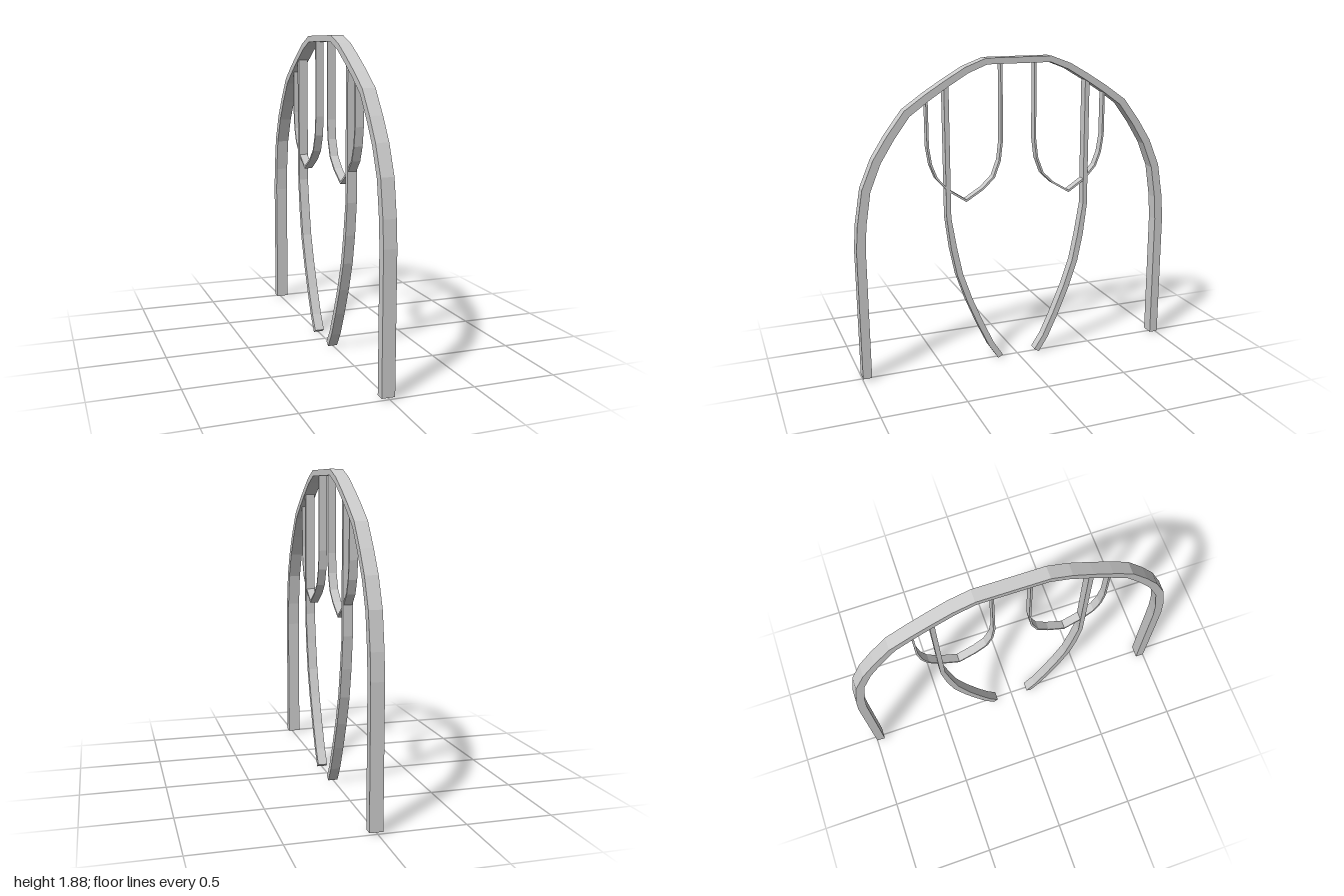
import * as THREE from 'three';

const material = new THREE.MeshStandardMaterial({ color: 0xcccccc, flatShading: true });

// Sweep a rectangular bar along [z, y, half thickness] points with mitred joints
function bar(name, points, halfWidth) {
  const n = points.length;
  const pos = [], index = [];
  const dir = (a, b) => new THREE.Vector2(b[0] - a[0], b[1] - a[1]).normalize();
  points.forEach(([z, y, h], i) => {
    const before = dir(points[Math.max(i - 1, 0)], points[Math.max(i, 1)]);
    const after = dir(points[Math.min(i, n - 2)], points[Math.min(i + 1, n - 1)]);
    const t = before.clone().add(after).normalize();
    const k = h / t.dot(after);
    const nz = -t.y * k, ny = t.x * k;
    for (const [sx, sn] of [[-1, -1], [1, -1], [1, 1], [-1, 1]]) {
      pos.push(sx * halfWidth, y + sn * ny, z + sn * nz);
    }
  });
  // Four sides, then the two end caps
  for (let i = 0; i < n - 1; i++) {
    for (let j = 0; j < 4; j++) {
      const a = i * 4 + j, b = i * 4 + (j + 1) % 4;
      index.push(a, b, a + 4, b, b + 4, a + 4);
    }
  }
  const e = (n - 1) * 4;
  index.push(0, 2, 1, 0, 3, 2, e, e + 1, e + 2, e, e + 2, e + 3);
  const indexed = new THREE.BufferGeometry();
  indexed.setAttribute('position', new THREE.Float32BufferAttribute(pos, 3));
  indexed.setIndex(index);
  const geometry = indexed.toNonIndexed();
  geometry.computeVertexNormals();
  const mesh = new THREE.Mesh(geometry, material);
  mesh.name = name;
  return mesh;
}

const mirror = (points) => points.map(([z, y, h]) => [-z, y, h]).reverse();

export function createModel() {
  const model = new THREE.Group();
  model.name = 'archFrame';

  // Outer arch, thinner towards the crown
  const archHalf = [
    [0.973, 0.015, 0.027], [0.973, 0.81, 0.027], [0.962, 0.96, 0.026],
    [0.928, 1.165, 0.025], [0.86, 1.328, 0.024], [0.778, 1.457, 0.023],
    [0.678, 1.59, 0.022], [0.558, 1.675, 0.021], [0.44, 1.75, 0.02],
    [0.32, 1.82, 0.019], [0.2, 1.866, 0.018],
  ];
  model.add(bar('outerArch', [...archHalf, ...mirror(archHalf)], 0.038));

  // Inner legs, straight then curving in to the ground
  const leg = [
    [0.443, 1.74], [0.443, 0.955], [0.415, 0.763], [0.38, 0.592],
    [0.321, 0.42], [0.252, 0.254], [0.182, 0.104], [0.123, 0.014],
  ].map(([z, y], i) => [z, y, i < 2 ? 0.014 : 0.018]);

  // Thin hanging loops
  const loop = [
    [0.558, 1.66], [0.558, 1.39], [0.542, 1.283], [0.51, 1.2], [0.44, 1.122],
    [0.332, 1.05], [0.225, 1.115], [0.157, 1.18], [0.12, 1.278],
    [0.106, 1.395], [0.106, 1.855],
  ].map(([z, y]) => [z, y, 0.006]);

  model.add(bar('frontLeg', leg, 0.029), bar('backLeg', mirror(leg), 0.029));
  model.add(bar('frontLoop', loop, 0.025), bar('backLoop', mirror(loop), 0.025));

  // The frame is turned slightly about the vertical
  model.rotation.y = -0.008;
  return model;
}
